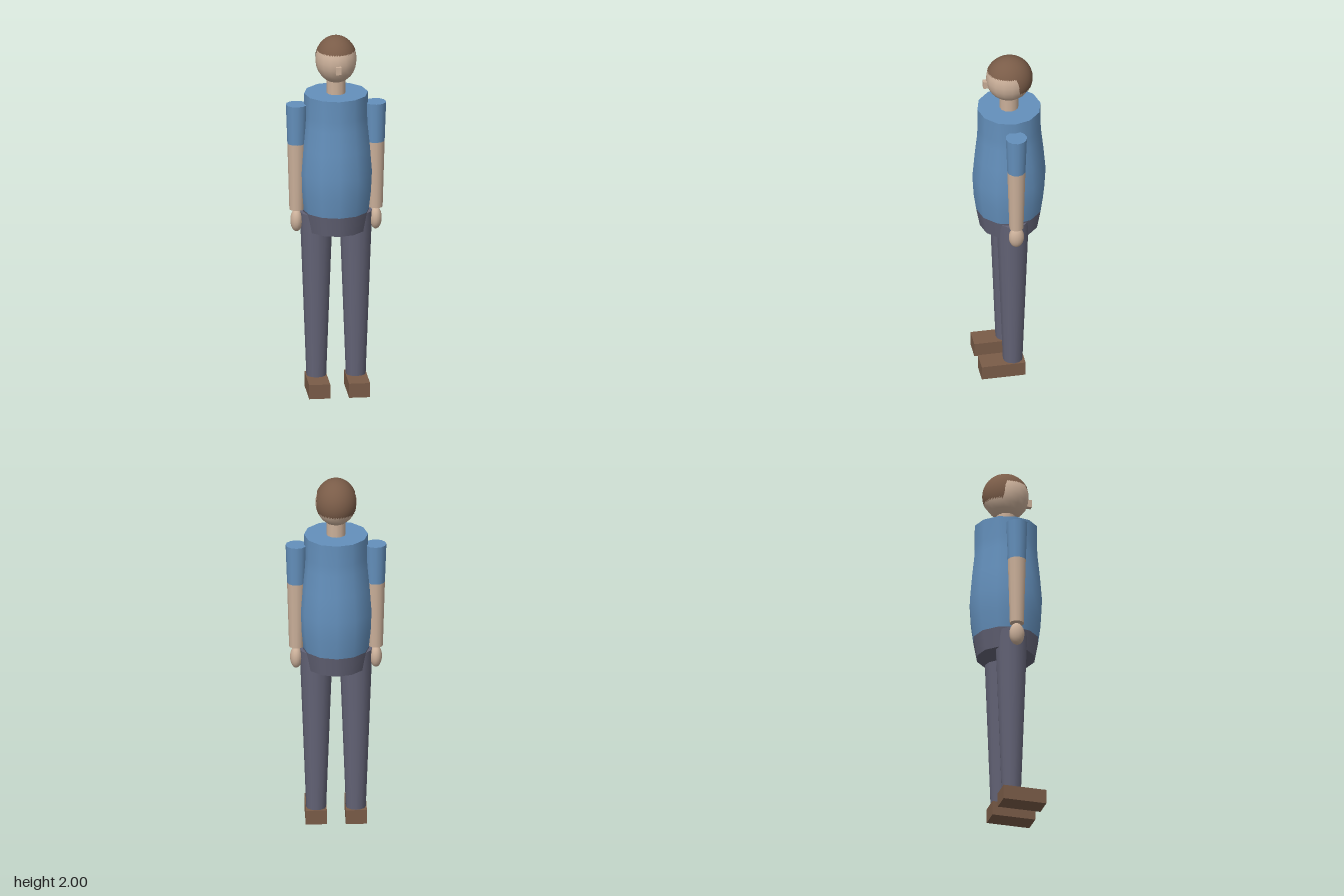
import * as THREE from 'three';

const material = (name, color) => {
  const m = new THREE.MeshStandardMaterial({ color });
  m.name = name;
  return m;
};

export function createModel() {
  const shirt = material('shirt blue', 0x6490bc);
  const cloth = material('trouser grey', 0x636376);
  const skin = material('skin', 0xcbb09a);
  const brown = material('brown', 0x7a5c48);
  const SIDES = 12;

  const model = new THREE.Group();
  model.name = 'standingPerson';

  function add(name, geometry, mat, x = 0, y = 0, z = 0, parent = model) {
    const mesh = new THREE.Mesh(geometry, mat);
    mesh.name = name;
    mesh.position.set(x, y, z);
    parent.add(mesh);
    return mesh;
  }

  // Tapered round limb between two heights
  function limb(name, mat, x, yTop, yBottom, rTop, rBottom, parent) {
    const g = new THREE.CylinderGeometry(rTop, rBottom, yTop - yBottom, SIDES);
    return add(name, g, mat, x, (yTop + yBottom) / 2, 0, parent);
  }

  // Torso: rounded belly with a flat shoulder disc
  const profile = [
    [0.18, 1.02], [0.194, 1.12], [0.201, 1.24], [0.189, 1.38], [0.176, 1.5], [0.173, 1.56], [0.173, 1.68],
  ].map(([r, y]) => new THREE.Vector2(r, y));
  add('torso', new THREE.LatheGeometry(profile, SIDES), shirt);
  const disc = new THREE.CircleGeometry(0.173, SIDES).rotateX(-Math.PI / 2);
  add('shoulderTop', disc, shirt, 0, 1.68);
  limb('hips', cloth, 0, 1.02, 0.91, 0.18, 0.16);

  // Arms and legs, mirrored
  for (const [side, s] of [['left', 1], ['right', -1]]) {
    const arm = new THREE.Group();
    arm.name = side + 'Arm';
    limb('sleeve', shirt, s * 0.214, 1.62, 1.4, 0.058, 0.05, arm);
    limb('forearm', skin, s * 0.214, 1.4, 1.025, 0.05, 0.039, arm);
    const hand = new THREE.SphereGeometry(1, 16, 12).scale(0.033, 0.063, 0.042);
    add('hand', hand, skin, s * 0.215, 0.962, 0, arm);

    const leg = new THREE.Group();
    leg.name = side + 'Leg';
    limb('trouserLeg', cloth, s * 0.107, 1.01, 0.08, 0.089, 0.054, leg);
    add('shoe', new THREE.BoxGeometry(0.114, 0.08, 0.24), brown, s * 0.108, 0.04, 0.06, leg);
    model.add(arm, leg);
  }

  // Neck, head and nose
  limb('neck', skin, 0, 1.77, 1.66, 0.052, 0.052);
  add('head', new THREE.SphereGeometry(1, 16, 12).scale(0.112, 0.129, 0.126), skin, 0, 1.869);
  add('nose', new THREE.BoxGeometry(0.029, 0.042, 0.035), skin, 0, 1.845, 0.125);

  // Hair: thin cap whose lower edge drops from the brow to the nape behind the ears
  const hairGeometry = new THREE.SphereGeometry(1, 72, 20);
  const pos = hairGeometry.attributes.position;
  const uv = hairGeometry.attributes.uv;
  for (let i = 0; i < pos.count; i++) {
    const around = uv.getX(i) * Math.PI * 2;
    const front = Math.abs(Math.atan2(Math.sin(around), Math.cos(around)));
    const drop = THREE.MathUtils.smoothstep(front, 1.76, 1.94);
    const down = (1 - uv.getY(i)) * (1.17 + 0.82 * drop);
    const x = Math.sin(down) * Math.sin(around);
    const y = Math.cos(down);
    const z = Math.sin(down) * Math.cos(around);
    pos.setXYZ(i, x, y, z);
    hairGeometry.attributes.normal.setXYZ(i, x, y, z);
  }
  hairGeometry.scale(0.1135, 0.131, 0.1285);
  const hair = add('hair', hairGeometry, brown, 0, 1.869);
  hair.material.side = THREE.DoubleSide;

  return model;
}
